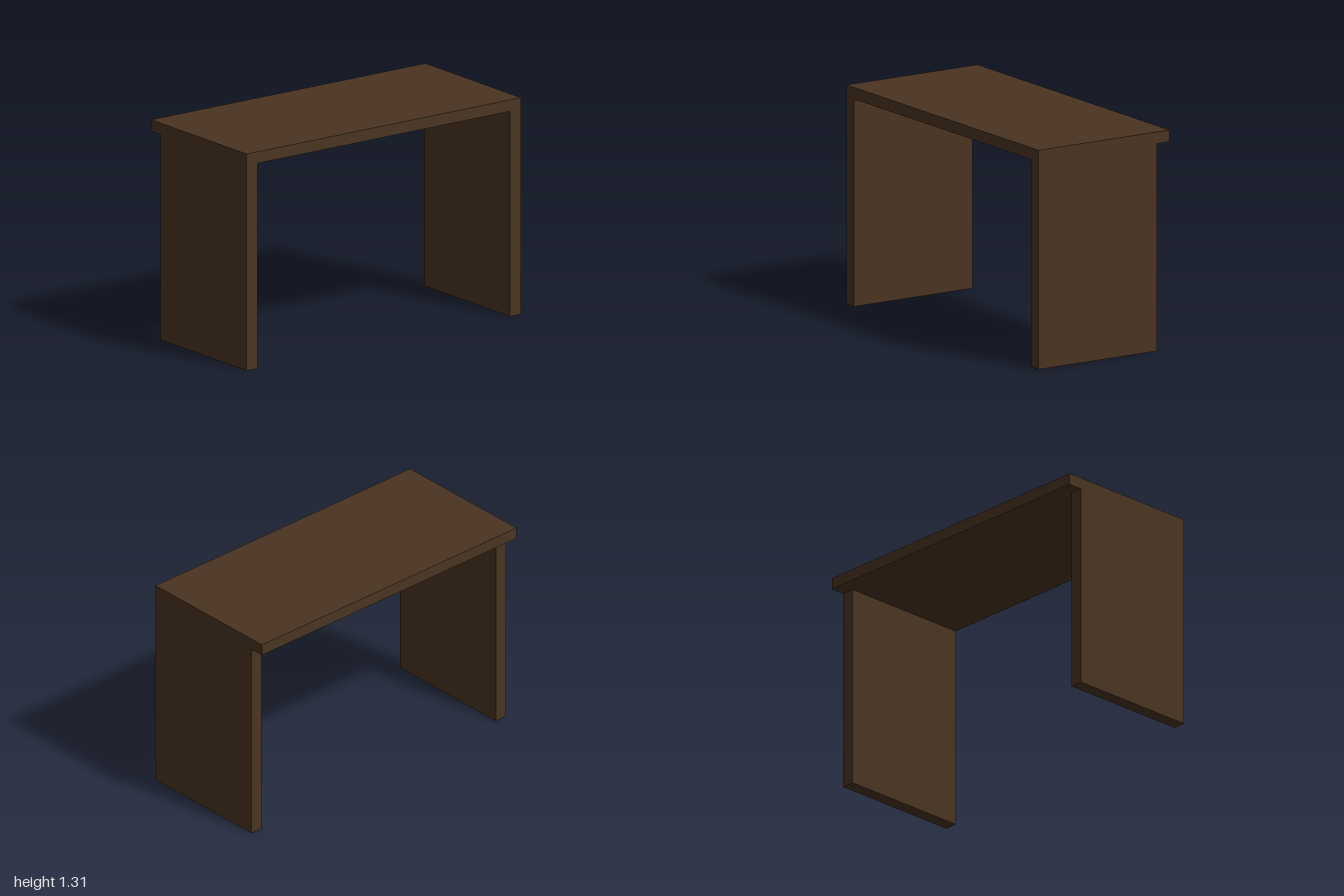
import * as THREE from 'three';

export function createModel() {
  const model = new THREE.Group();
  model.name = 'desk';
  const wood = new THREE.MeshStandardMaterial({ color: 0x4a3422 });
  wood.name = 'dark brown wood';

  const width = 0.92, length = 2, height = 1.31;
  const topThickness = 0.07, panelThickness = 0.08, overhang = 0.09;
  const panelHeight = height - topThickness;

  const addBoard = (name, w, h, d, x, y, z) => {
    const board = new THREE.Mesh(new THREE.BoxGeometry(w, h, d), wood);
    board.name = name;
    board.position.set(x, y, z);
    model.add(board);
  };

  // Table top, overhanging the side panels on the -x edge
  addBoard('tableTop', width, topThickness, length, 0, height - topThickness / 2, 0);

  // Solid end panels, flush with the ends and the +x edge
  for (const [name, side] of [['frontPanel', 1], ['backPanel', -1]]) {
    addBoard(name, width - overhang, panelHeight, panelThickness,
      overhang / 2, panelHeight / 2, side * (length - panelThickness) / 2);
  }
  return model;
}
